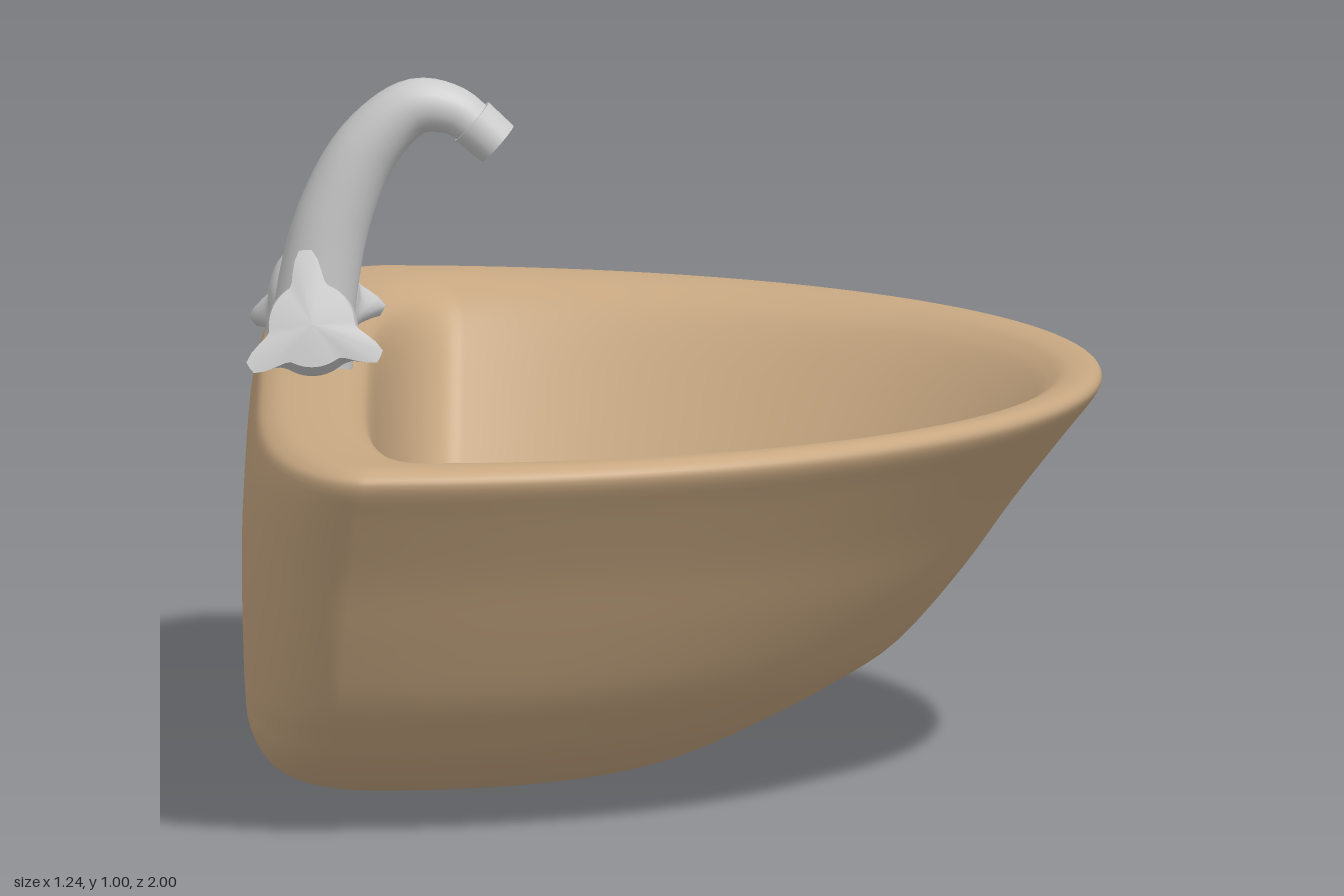
import * as THREE from 'three';

const metal = new THREE.MeshStandardMaterial({ color: 0xcccccc });
const openMetal = new THREE.MeshStandardMaterial({ color: 0xcccccc, side: THREE.DoubleSide });
const ceramic = new THREE.MeshStandardMaterial({ color: 0xc8a882 });
const dark = new THREE.MeshStandardMaterial({ color: 0x0a0a0a });

function add(parent, name, geometry, material) {
  const mesh = new THREE.Mesh(geometry, material);
  mesh.name = name;
  parent.add(mesh);
  return mesh;
}

// Skin a stack of closed rings; point(row, t) gives a ring corner for t in 0..1
function loft(rows, segments, point) {
  const pos = [], index = [];
  rows.forEach((row, i) => {
    for (let k = 0; k < segments; k++) {
      pos.push(...point(row, k / segments));
      if (i === rows.length - 1) continue;
      const a = i * segments + k, b = i * segments + (k + 1) % segments;
      index.push(a, a + segments, b, b, a + segments, b + segments);
    }
  });
  const g = new THREE.BufferGeometry();
  g.setAttribute('position', new THREE.Float32BufferAttribute(pos, 3));
  g.setIndex(index);
  g.computeVertexNormals();
  return g;
}

// D-shaped ring: elliptic front arc and a flatter bowed back
function basinPoint([y, back, corner, front, half], t) {
  const a = t * Math.PI * 2 - Math.PI / 2, s = Math.sin(a), c = Math.cos(a);
  const x = c >= 0
    ? corner + (front - corner) * c
    : corner + (corner - back) * c * Math.sqrt(1 + s * s);
  return [x, y, half * s];
}

function basinGeometry() {
  // height, back x, corner x, front x, half width: up the outside, then down the inside
  const profile = [
    [0, -0.24, -0.24, -0.24, 0],
    [0.009, -0.42, -0.32, -0.08, 0.26],
    [0.025, -0.53, -0.41, 0.0, 0.43],
    [0.05, -0.585, -0.45, 0.07, 0.565],
    [0.1, -0.613, -0.47, 0.175, 0.68],
    [0.15, -0.619, -0.475, 0.265, 0.74],
    [0.2, -0.621, -0.475, 0.338, 0.787],
    [0.3, -0.623, -0.47, 0.425, 0.847],
    [0.4, -0.622, -0.46, 0.497, 0.903],
    [0.5, -0.615, -0.45, 0.575, 0.966],
    [0.55, -0.604, -0.44, 0.615, 0.997],
    [0.57, -0.588, -0.435, 0.621, 0.992],
    [0.58, -0.555, -0.42, 0.606, 0.965],
    [0.578, -0.49, -0.37, 0.575, 0.91],
    [0.565, -0.457, -0.335, 0.55, 0.86],
    [0.53, -0.437, -0.31, 0.515, 0.805],
    [0.4, -0.425, -0.31, 0.41, 0.715],
    [0.28, -0.41, -0.31, 0.305, 0.62],
    [0.2, -0.37, -0.29, 0.18, 0.5],
    [0.165, -0.32, -0.25, 0.03, 0.32],
    [0.156, -0.27, -0.2, -0.07, 0.13],
    [0.155, -0.17, -0.17, -0.17, 0],
  ];
  const spline = (f) => new THREE.CatmullRomCurve3(
    profile.map(f), false, 'catmullrom', 0.5);
  const low = spline((r) => new THREE.Vector3(r[0], r[1], r[2]));
  const high = spline((r) => new THREE.Vector3(r[3], r[4], 0));
  const steps = (profile.length - 1) * 4, rows = [];
  for (let i = 0; i <= steps; i++) {
    const a = low.getPoint(i / steps), b = high.getPoint(i / steps);
    rows.push([a.x, a.y, a.z, b.x, b.y]);
  }
  return loft(rows, 128, basinPoint);
}

// Tube whose radius follows radiusAt(t)
function taperedTube(curve, steps, sides, radiusAt) {
  const g = new THREE.TubeGeometry(curve, steps, 1, sides);
  const p = g.attributes.position, v = new THREE.Vector3();
  for (let i = 0; i <= steps; i++) {
    const centre = curve.getPointAt(i / steps);
    for (let j = 0; j <= sides; j++) {
      const k = i * (sides + 1) + j;
      v.fromBufferAttribute(p, k).sub(centre).multiplyScalar(radiusAt(i / steps)).add(centre);
      p.setXYZ(k, v.x, v.y, v.z);
    }
  }
  return g;
}

function makeFaucet() {
  const faucet = new THREE.Group();
  faucet.name = 'faucet';

  // Swan-neck spout
  const path = new THREE.CatmullRomCurve3([
    [-0.525, 0.565], [-0.517, 0.68], [-0.49, 0.8], [-0.44, 0.9],
    [-0.375, 0.955], [-0.32, 0.95], [-0.28, 0.922],
  ].map(([x, y]) => new THREE.Vector3(x, y, -0.04)));
  add(faucet, 'spout', taperedTube(path, 48, 24, (t) => 0.06 - 0.029 * t * t), metal);

  // Nozzle collar with an open mouth
  const nozzle = add(faucet, 'nozzle', new THREE.LatheGeometry([
    [0, -0.025], [0.037, -0.025], [0.037, -0.025], [0.035, 0.025],
    [0.035, 0.025], [0.028, 0.025], [0.028, 0.025], [0.026, 0], [0, 0],
  ].map(([x, y]) => new THREE.Vector2(x, y)), 24), openMetal);
  nozzle.position.set(-0.273, 0.917, -0.04);
  nozzle.quaternion.setFromUnitVectors(
    new THREE.Vector3(0, 1, 0), new THREE.Vector3(0.75, -0.66, 0).normalize());

  // Valve handles: distance along the axis, body radius, prong length
  const rows = [
    [0, 0.036, 0], [0.095, 0.036, 0], [0.115, 0.042, 0], [0.118, 0.056, 0],
    [0.13, 0.064, 0.004], [0.158, 0.067, 0.012], [0.184, 0.066, 0.026],
    [0.202, 0.064, 0.038], [0.215, 0.062, 0.048], [0.215, 0.062, 0.048],
    [0.219, 0.03, 0.01], [0.22, 0, 0],
  ];
  const handleGeometry = loft(rows, 72, ([s, body, prong], t) => {
    const a = t * Math.PI * 2;
    const lobe = Math.min(1, 1.1 * Math.max(0, Math.cos(3 * a)) ** 3);
    const r = body + prong * lobe;
    return [r * Math.sin(a), r * Math.cos(a), s];
  });
  for (const [name, turn, twist] of [['leftHandle', 0, 0.09], ['rightHandle', Math.PI, -0.09]]) {
    const pivot = new THREE.Group();
    pivot.name = name;
    pivot.position.set(-0.522, 0.607, -0.04);
    pivot.rotation.y = turn;
    add(pivot, 'valveHandle', handleGeometry, metal).rotation.set(-0.28, 0, twist);
    faucet.add(pivot);
  }
  return faucet;
}

function makeDrain() {
  const drain = new THREE.Group();
  drain.name = 'drain';
  drain.position.set(-0.17, 0.158, 0.018);

  // Strainer disc with four wedge openings
  const disc = new THREE.Shape().absarc(0, 0, 0.098, 0, Math.PI * 2);
  for (let i = 0; i < 4; i++) {
    const a = Math.PI * (0.28 + i / 2), w = 0.42;
    const hole = new THREE.Path();
    hole.moveTo(0.012 * Math.cos(a), 0.012 * Math.sin(a));
    hole.lineTo(0.074 * Math.cos(a - w), 0.074 * Math.sin(a - w));
    hole.absarc(0, 0, 0.074, a - w, a + w);
    hole.closePath();
    disc.holes.push(hole);
  }
  const plate = new THREE.ExtrudeGeometry(disc, {
    depth: 0.01, bevelEnabled: false, curveSegments: 24 });
  add(drain, 'strainer', plate.rotateX(-Math.PI / 2), metal);
  add(drain, 'drainOpening', new THREE.CylinderGeometry(0.09, 0.09, 0.004, 32), dark)
    .position.y = 0.003;
  return drain;
}

export function createModel() {
  const model = new THREE.Group();
  model.name = 'washbasin';
  add(model, 'basin', basinGeometry(), ceramic);
  model.add(makeFaucet(), makeDrain());
  return model;
}
